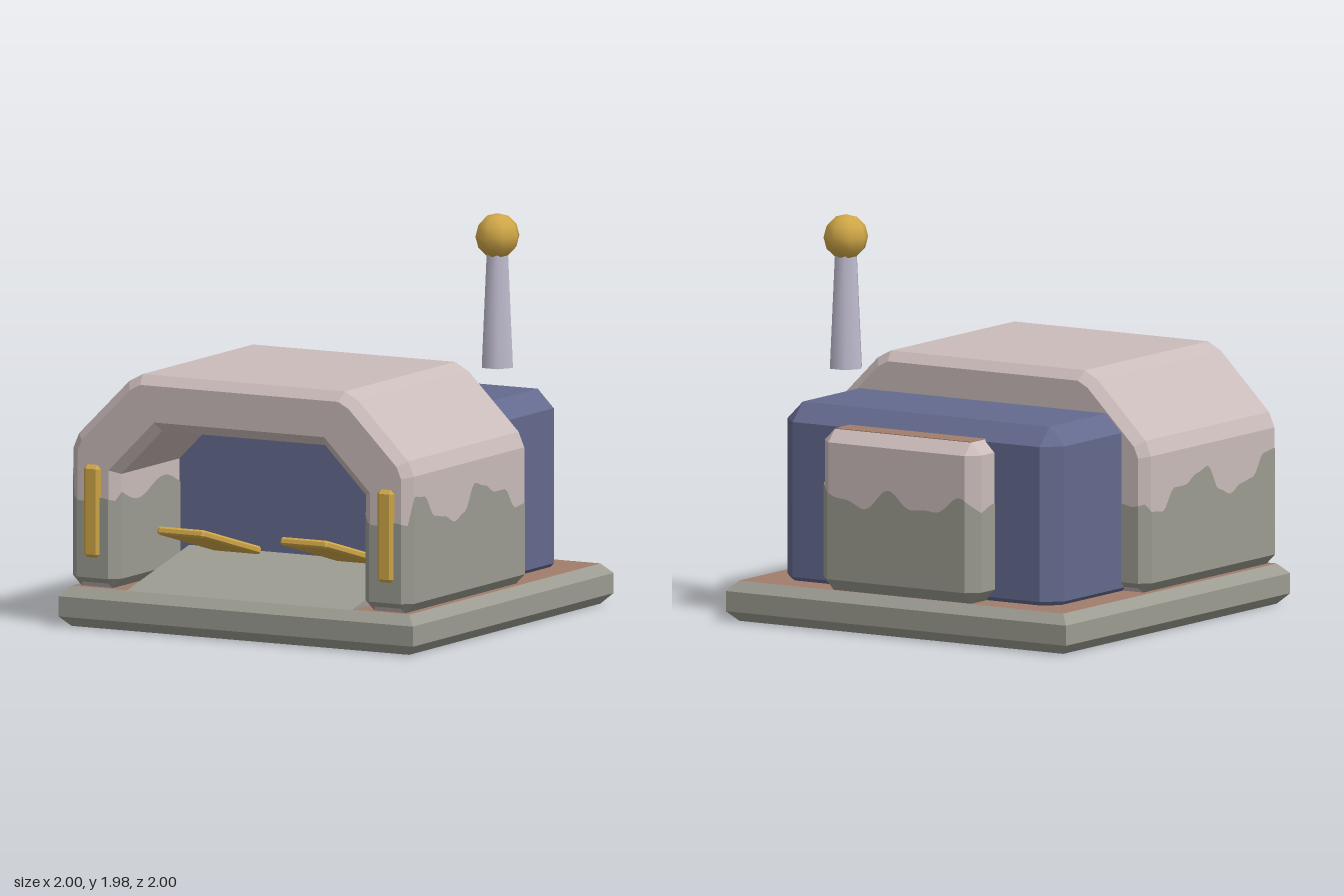
import * as THREE from 'three';
import { ConvexGeometry } from 'three/addons/geometries/ConvexGeometry.js';

const mat = (name, color, side = THREE.FrontSide) => {
  const m = new THREE.MeshStandardMaterial({ color, side });
  m.name = name;
  return m;
};

// Box with every edge cut at 45 degrees
function chamferBox(w, h, d, c) {
  const pts = [];
  const [a, b, e] = [w / 2, h / 2, d / 2];
  for (const x of [-1, 1]) for (const y of [-1, 1]) for (const z of [-1, 1]) {
    pts.push(
      new THREE.Vector3(x * a, y * (b - c), z * (e - c)),
      new THREE.Vector3(x * (a - c), y * b, z * (e - c)),
      new THREE.Vector3(x * (a - c), y * (b - c), z * e));
  }
  return new ConvexGeometry(pts);
}

// Thin skin around a chamfered block, from its foot up to a wavy edge
function wavySkin(w, d, c, y0, height) {
  const [a, b] = [w / 2, d / 2];
  const corners = [[a, -b + c], [a, b - c], [a - c, b], [-a + c, b], [-a, b - c], [-a, -b + c], [-a + c, -b], [a - c, -b]];
  const loop = [];
  corners.forEach(([x, z], i) => {
    const [x2, z2] = corners[(i + 1) % 8];
    const n = i % 2 ? 2 : 44;
    for (let k = 0; k < n; k++) loop.push([x + (x2 - x) * k / n, z + (z2 - z) * k / n]);
  });
  const n = loop.length, pos = [], idx = [];
  for (const [x, z] of loop) {
    pos.push(THREE.MathUtils.clamp(x, c - a, a - c), y0, THREE.MathUtils.clamp(z, c - b, b - c));
    pos.push(x, y0 + c, z, x, height(x, z), z);
  }
  for (let i = 0; i < n; i++) {
    const j = (i + 1) % n;
    for (let r = 0; r < 2; r++) {
      const p = i * 3 + r, q = j * 3 + r;
      idx.push(p, p + 1, q, q, p + 1, q + 1);
    }
  }
  const g = new THREE.BufferGeometry();
  g.setAttribute('position', new THREE.Float32BufferAttribute(pos, 3));
  g.setIndex(idx);
  const flat = g.toNonIndexed();
  flat.computeVertexNormals();
  return flat;
}

// Edge of the lower coat along the outer walls, front to back
const WAVE = [0.78, 0.77, 0.66, 0.645, 0.605, 0.64, 0.77, 0.745, 0.70, 0.70, 0.595, 0.605];
function waveAt(z) {
  const t = THREE.MathUtils.clamp((0.92 - z) / 0.1, 0, WAVE.length - 1.001);
  const i = Math.floor(t), f = t - i;
  return WAVE[i] + (WAVE[i + 1] - WAVE[i]) * f * f * (3 - 2 * f);
}

export function createModel() {
  const root = new THREE.Group();
  root.name = 'bakeOven';
  const plaster = mat('palePlaster', 0xcabcba);
  const stone = mat('greyStone', 0x9c9c92);
  const coat = mat('greyCoat', 0x9c9c92, THREE.DoubleSide);
  const blue = mat('slateBlue', 0x646a8e);
  const clay = mat('brownClay', 0xa17d6c);
  const gold = mat('gold', 0xd0a748);
  const metal = mat('paleMetal', 0xc0bdd0);

  const add = (name, geo, material, x = 0, y = 0, z = 0) => {
    const m = new THREE.Mesh(geo, material);
    m.name = name;
    m.position.set(x, y, z);
    root.add(m);
    return m;
  };

  // Base slab: clay faces, stone rim
  const square = new THREE.Shape([[-1, -1], [1, -1], [1, 1], [-1, 1]].map(p => new THREE.Vector2(...p)));
  const slab = new THREE.ExtrudeGeometry(square, {
    depth: 0.1, bevelSize: 0.048, bevelThickness: 0.05, bevelOffset: -0.048, bevelSegments: 1 });
  slab.rotateX(-Math.PI / 2);
  add('base', slab, [clay, stone], 0, 0.05, 0);

  // Vaulted hall
  const outer = [[0.91, 0.2], [0.96, 0.25], [0.96, 0.88], [0.928, 0.955], [0.645, 1.235], [0.57, 1.275]];
  const inner = [[0.46, 1.0], [0.69, 0.77], [0.69, 0.25], [0.74, 0.2]];
  const flip = pts => pts.map(([x, y]) => [-x, y]).reverse();
  const outline = [...outer, ...flip(outer), ...flip(inner), ...inner];
  const vault = new THREE.ExtrudeGeometry(new THREE.Shape(outline.map(p => new THREE.Vector2(...p))), {
    depth: 1.1, bevelSize: 0.047, bevelThickness: 0.045, bevelOffset: -0.047, bevelSegments: 1 });
  add('vault', vault, plaster, 0, 0, -0.18);

  // Wavy lower coat on both legs of the vault
  const legX = 0.825, legZ = 0.37;
  for (const s of [1, -1]) {
    const skin = wavySkin(0.278, 1.198, 0.05, 0.2, (x, z) => {
      if (x * s > 0.13) return waveAt(z + legZ);
      if (x * s < -0.13) return 0.67 + 0.04 * Math.sin(12 * z);
      return 0.64 + 0.01 * Math.sin(30 * x);
    });
    add(s > 0 ? 'leftLegCoat' : 'rightLegCoat', skin, coat, s * legX, 0, legZ);
  }

  // Inner chamber
  add('chamber', chamferBox(1.63, 0.95, 1.16, 0.09), blue, 0, 0.605, -0.24);

  // Back block with clay top and wavy coat
  add('backBlock', chamferBox(0.92, 0.8, 0.5, 0.06), plaster, 0, 0.6, -0.746);
  add('backBlockTop', new THREE.BoxGeometry(0.8, 0.006, 0.38), clay, 0, 1.0, -0.746);
  add('backBlockCoat', wavySkin(0.928, 0.508, 0.06, 0.2,
    (x, z) => 0.69 + 0.04 * Math.sin(16 * x + 1) + 0.02 * Math.sin(29 * x) - 0.02 * Math.sin(20 * z)),
  coat, 0, 0, -0.746);

  // Ramp
  const wedge = new THREE.Shape([[0.965, 0.2], [0.34, 0.345], [0.34, 0.2]].map(p => new THREE.Vector2(...p)));
  const ramp = new THREE.ExtrudeGeometry(wedge, { depth: 1.27, bevelEnabled: false });
  ramp.translate(0, 0, -0.635).rotateY(-Math.PI / 2);
  add('ramp', ramp, stone);

  // Tilted plates and upright bars
  for (const s of [1, -1]) {
    const side = s > 0 ? 'left' : 'right';
    add(side + 'Plate', chamferBox(0.265, 0.04, 0.6, 0.01), gold, s * 0.347, 0.43, 0.65).rotation.x = -0.27;
    add(side + 'Bar', chamferBox(0.096, 0.465, 0.09, 0.02), gold, s * 0.828, 0.58, 0.94);
  }

  // Pole and ball
  const pole = new THREE.CylinderGeometry(0.06, 0.088, 0.57, 6);
  pole.rotateY(Math.PI / 6);
  add('pole', pole, metal, 0.65, 1.505, -0.46);
  add('poleBall', new THREE.SphereGeometry(0.112, 8, 6), gold, 0.65, 1.87, -0.46);

  return root;
}
